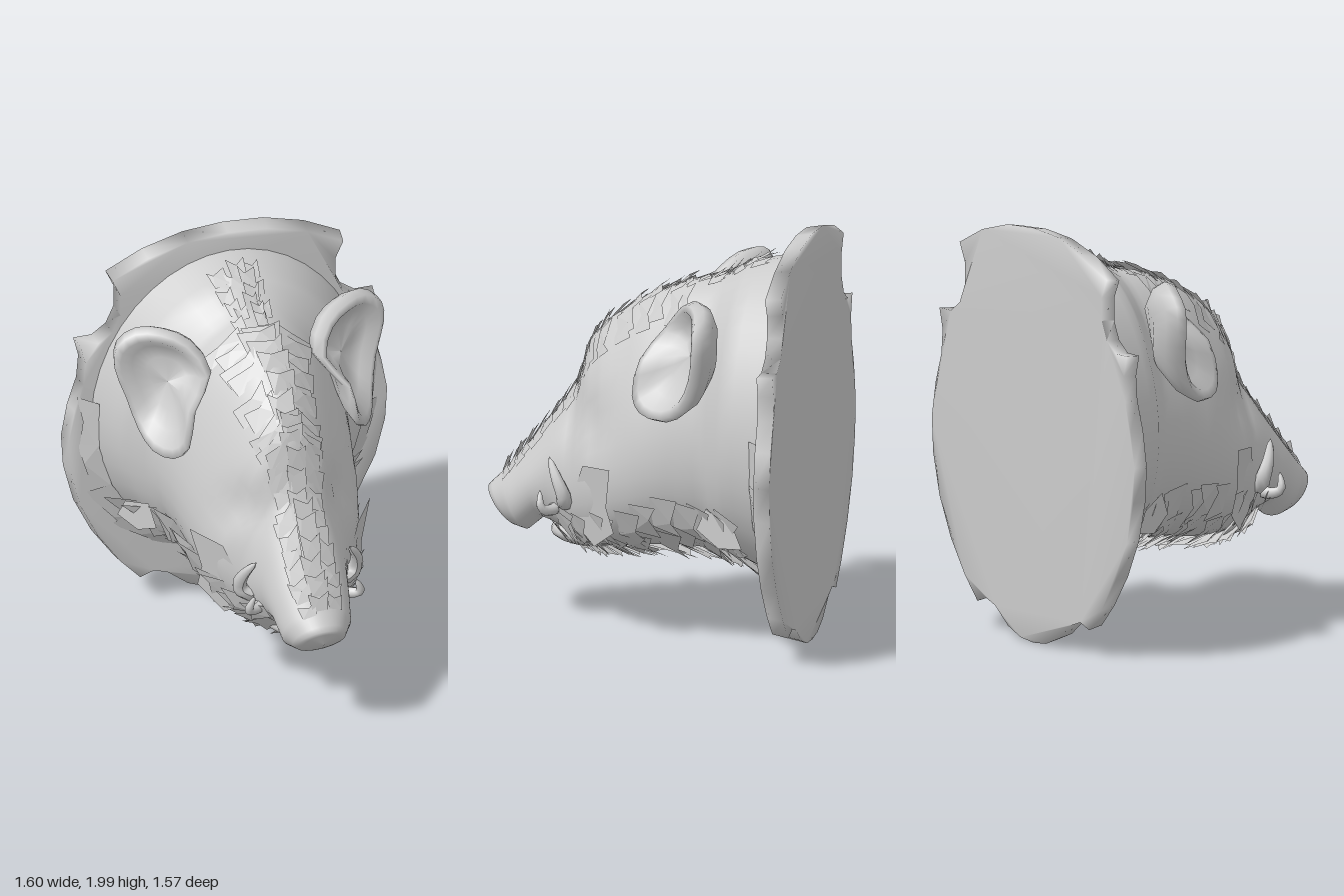
import * as THREE from 'three';
import { mergeVertices } from 'three/addons/utils/BufferGeometryUtils.js';

const grey = new THREE.MeshStandardMaterial({ color: 0xcccccc });
const thin = new THREE.MeshStandardMaterial({ color: 0xcccccc, side: THREE.DoubleSide });
const V = (x, y, z) => new THREE.Vector3(x, y, z);

let seed = 7;
const rand = () => (seed = (seed * 16807) % 2147483647) / 2147483647;
const jitter = (r) => (rand() - 0.5) * 2 * r;

function add(parent, name, geometry, material = grey) {
  const mesh = new THREE.Mesh(geometry, material);
  mesh.name = name;
  parent.add(mesh);
  return mesh;
}

// Skin over closed rings of points
function loft(rings) {
  const n = rings[0].length, index = [];
  for (let i = 0; i < rings.length - 1; i++)
    for (let j = 0; j < n; j++) {
      const a = i * n + j, b = i * n + (j + 1) % n;
      index.push(a, b, a + n, b, b + n, a + n);
    }
  const g = new THREE.BufferGeometry().setFromPoints(rings.flat());
  g.setIndex(index);
  g.computeVertexNormals();
  return g;
}

// Head sections from nose to neck: top z, top y, bottom z, bottom y, half width, narrowing of the top
const sections = [
  [0.75, 0.57, 0.74, 0.56, 0.0, 0],
  [0.78, 0.66, 0.63, 0.47, 0.12, 0],
  [0.7, 0.74, 0.58, 0.46, 0.17, 0.05],
  [0.6, 0.86, 0.5, 0.53, 0.19, 0.1],
  [0.45, 1.05, 0.44, 0.5, 0.21, 0.15],
  [0.34, 1.2, 0.32, 0.44, 0.25, 0.3],
  [0.28, 1.42, 0.2, 0.42, 0.31, 0.42],
  [0.2, 1.51, 0.1, 0.42, 0.35, 0.42],
  [0.0, 1.65, -0.05, 0.44, 0.4, 0.34],
  [-0.2, 1.73, -0.2, 0.45, 0.44, 0.22],
  [-0.36, 1.76, -0.38, 0.44, 0.48, 0.15],
  [-0.5, 1.84, -0.5, 0.42, 0.6, 0.1],
  [-0.72, 1.89, -0.72, 0.32, 0.68, 0.05],
];

// Point on the head: u runs nose to neck, a runs round from the top, lift moves outwards
function headPoint(u, a, lift = 0) {
  const i = Math.min(Math.floor(u), sections.length - 2);
  const s = sections[i].map((v, k) => THREE.MathUtils.lerp(v, sections[i + 1][k], u - i));
  const c = Math.cos(a), f = (1 + c) / 2;
  const p = V(s[4] * Math.sin(a) * (1 - s[5] * c), s[3] + (s[1] - s[3]) * f, s[2] + (s[0] - s[2]) * f);
  // eye hollows
  p.x *= 1 - 0.18 * Math.exp(-((p.y - 1.08) ** 2 + (p.z - 0.25) ** 2) / 0.012);
  const out = V(p.x, p.y - (s[1] + s[3]) / 2, p.z - (s[0] + s[2]) / 2).normalize();
  return p.addScaledVector(out, lift);
}

// Ragged flat tuft lying on the head with its far end lifted
function tuft(list, u, a, du, da, lift) {
  const end = Math.min(u + du, 12);
  const b0 = headPoint(u, a - da / 2, 0.006), b1 = headPoint(u, a + da / 2, 0.006);
  const t0 = headPoint(end, a - da * 0.55, lift * (0.7 + rand() * 0.5));
  const t1 = headPoint(end, a + da * 0.55, lift * (0.7 + rand() * 0.5));
  const m = headPoint(Math.max(end - du * 0.3, u), a + jitter(da * 0.3), lift * 0.7);
  list.push(b0, b1, m, b0, m, t0, b1, t1, m);
}

function triangles(points) {
  const g = new THREE.BufferGeometry().setFromPoints(points);
  g.computeVertexNormals();
  return g;
}

// Flat piece fanned out from its first point
function fan(points) {
  const out = [];
  for (let i = 1; i < points.length - 1; i++) out.push(points[0], points[i], points[i + 1]);
  return triangles(out);
}

// Tube that narrows to a point
function tusk(points, radius) {
  const curve = new THREE.CatmullRomCurve3(points), steps = 12, sides = 8;
  const g = new THREE.TubeGeometry(curve, steps, radius, sides);
  const pos = g.attributes.position, p = V(0, 0, 0);
  for (let i = 0; i <= steps; i++) {
    const c = curve.getPointAt(i / steps), k = Math.sqrt(1 - i / steps) + 0.02;
    for (let j = 0; j <= sides; j++) {
      const n = i * (sides + 1) + j;
      p.fromBufferAttribute(pos, n).sub(c).multiplyScalar(k).add(c);
      pos.setXYZ(n, p.x, p.y, p.z);
    }
  }
  g.computeVertexNormals();
  return g;
}

// Shield board with soft shading, a little smaller at the front
function makePlaque() {
  const half = [[0, 2], [0.2, 1.985], [0.4, 1.93], [0.58, 1.84], [0.54, 1.75], [0.54, 1.64], [0.58, 1.55],
    [0.65, 1.5], [0.74, 1.5], [0.715, 1.4], [0.725, 1.28], [0.77, 1.14], [0.8, 0.97], [0.79, 0.8],
    [0.74, 0.6], [0.65, 0.41], [0.54, 0.25], [0.44, 0.14], [0.37, 0.165], [0.3, 0.14], [0.2, 0.06], [0.1, 0.02], [0, 0.01]];
  const mirror = half.slice(1, -1).reverse().map(([x, y]) => [-x, y]);
  const shape = new THREE.Shape([...half, ...mirror].map(([x, y]) => new THREE.Vector2(x, y)));
  const extruded = new THREE.ExtrudeGeometry(shape, { depth: 0.08, bevelEnabled: false });
  extruded.deleteAttribute('normal');
  extruded.deleteAttribute('uv');
  const g = mergeVertices(extruded);
  const pos = g.attributes.position;
  for (let i = 0; i < pos.count; i++) {
    const k = pos.getZ(i) > 0.04 ? 0.985 : 1;
    pos.setXY(i, pos.getX(i) * k, 1 + (pos.getY(i) - 1) * k);
  }
  g.computeVertexNormals();
  return g.translate(0, 0, -0.79);
}

// Cupped ear: hollow front, rolled rim, convex back
function makeEar() {
  const rim = new THREE.CatmullRomCurve3([
    V(0.41, 1.26, -0.04), V(0.37, 1.44, -0.07), V(0.26, 1.58, -0.17), V(0.33, 1.71, -0.27), V(0.45, 1.76, -0.34),
    V(0.56, 1.75, -0.4), V(0.65, 1.68, -0.42), V(0.66, 1.56, -0.42), V(0.61, 1.4, -0.39), V(0.57, 1.25, -0.32),
    V(0.53, 1.18, -0.21), V(0.46, 1.19, -0.09)], true).getPoints(24).slice(0, 24);
  const centre = V(0.47, 1.48, -0.24), front = V(0.52, -0.05, 0.85);
  const ring = ([size, push]) => rim.map((p) =>
    p.clone().sub(centre).multiplyScalar(size).add(centre).addScaledVector(front, push));
  return loft([[0, -0.08], [0.4, -0.07], [0.65, -0.03], [0.82, 0.025], [0.95, 0.03], [1, -0.01],
    [0.88, -0.07], [0.55, -0.14], [0, -0.17]].map(ring));
}

export function createModel() {
  const model = new THREE.Group();
  model.name = 'mountedBoarHead';
  add(model, 'plaque', makePlaque());

  // Head and neck
  const rings = [];
  for (let u = 0; u <= 12; u += 0.25)
    rings.push(Array.from({ length: 40 }, (_, j) => headPoint(u, j / 40 * Math.PI * 2)));
  add(model, 'head', loft(rings));

  // Lower jaw
  const jaw = add(model, 'lowerJaw', new THREE.SphereGeometry(1, 16, 10));
  jaw.scale.set(0.15, 0.07, 0.2);
  jaw.position.set(0, 0.47, 0.28);

  // Bristles along the snout, brow and spine
  const crest = [];
  for (let u = 1.9; u < 11.3; u += 0.35) {
    const spread = u < 5.5 ? 0.45 : u < 9 ? 0.46 : 0.13;
    for (const side of [-1, 0, 1])
      tuft(crest, u + jitter(0.15), side * spread + jitter(0.08), 0.45, spread, side ? 0.02 : 0.04);
  }
  add(model, 'crestBristles', triangles(crest), thin);

  // Shaggy fur under the jaw and throat
  const throat = [];
  for (let u = 4.1; u < 11.2; u += 0.6)
    for (let k = -3; k <= 3; k++)
      tuft(throat, u + jitter(0.25), Math.PI + k * 0.29 + jitter(0.08), 0.9, 0.33, 0.06);
  add(model, 'throatFur', triangles(throat), thin);

  // Fur spreading over the plaque, longest at the lower corners
  const collar = [];
  for (let k = -5; k <= 5; k++)
    tuft(collar, 11.7, Math.PI + k * 0.3 + jitter(0.05), 0.28, 0.34, 0.06 + 0.06 * Math.abs(Math.sin(k * 0.6)));
  add(model, 'collarFur', triangles(collar), thin);

  // Paired parts
  for (const side of [1, -1]) {
    const half = new THREE.Group();
    half.name = side > 0 ? 'leftSide' : 'rightSide';
    half.scale.x = side;
    model.add(half);
    add(half, 'ear', makeEar());
    add(half, 'largeTusk', tusk([V(0.17, 0.7, 0.33), V(0.25, 0.67, 0.35), V(0.285, 0.71, 0.345),
      V(0.28, 0.79, 0.38), V(0.23, 0.88, 0.43)], 0.046));
    add(half, 'smallTusk', tusk([V(0.16, 0.64, 0.39), V(0.23, 0.62, 0.42), V(0.275, 0.64, 0.455),
      V(0.25, 0.72, 0.47)], 0.034));
    // Cheek and neck tufts
    const cheek = [[0.18, 0.75], [0.24, 0.88], [0.08, 0.9], [0.11, 0.7], [0.07, 0.58], [0.19, 0.48],
      [0.31, 0.58], [0.29, 0.75], [0.24, 0.88]];
    add(half, 'cheekTuft', fan(cheek.map(([z, y]) => V(0.45 - 0.68 * (z - 0.07) - 0.15 * (0.88 - y), y, z))), thin);
    const neck = [[-0.35, 0.65], [-0.4, 0.76], [-0.55, 0.7], [-0.6, 0.6], [-0.47, 0.58]];
    add(half, 'neckTuft', fan(neck.map(([z, y]) => V(0.47 - 0.45 * (z + 0.35), y, z))), thin);
  }
  return model;
}
